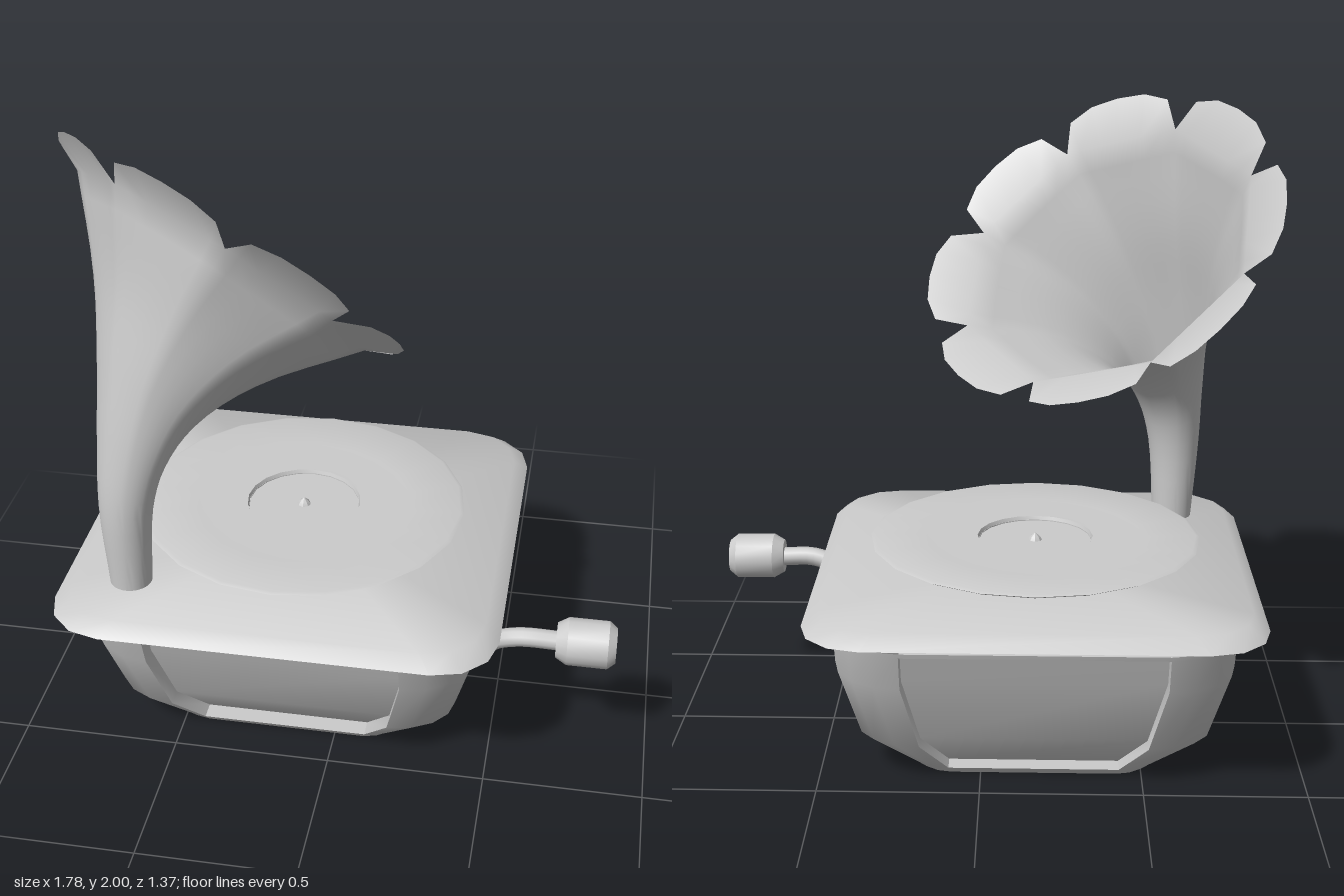
import * as THREE from 'three';
import { toCreasedNormals } from 'three/addons/utils/BufferGeometryUtils.js';

const material = new THREE.MeshStandardMaterial({ color: 0xcccccc, side: THREE.DoubleSide });
const CX = -0.165; // centre of the cabinet in x

function mesh(name, geometry, crease) {
  const m = new THREE.Mesh(crease ? toCreasedNormals(geometry, crease) : geometry, material);
  m.name = name;
  return m;
}

// Geometry from a list of quads, each with four Vector3 corners
function fromQuads(quads) {
  const pos = [];
  for (const [a, b, c, d] of quads) for (const p of [a, b, c, a, c, d]) pos.push(p.x, p.y, p.z);
  const g = new THREE.BufferGeometry();
  g.setAttribute('position', new THREE.Float32BufferAttribute(pos, 3));
  return g;
}

// Quads joining closed rings; skip(i, j) leaves a cell open
function loft(rows, skip = () => false) {
  const quads = [];
  for (let i = 0; i < rows.length - 1; i++) {
    const n = rows[i].length;
    for (let j = 0; j < n; j++) {
      if (skip(i, j)) continue;
      const k = (j + 1) % n;
      quads.push([rows[i][j], rows[i][k], rows[i + 1][k], rows[i + 1][j]]);
    }
  }
  return quads;
}

// Rounded rectangle: half sizes hx, hz with straight parts to px, pz
function ring(y, hx, hz, px, pz, n) {
  const pts = [];
  [[1, 1], [-1, 1], [-1, -1], [1, -1]].forEach(([sx, sz], q) => {
    for (let i = 0; i <= n; i++) {
      const a = ((q % 2 ? n - i : i) / n) * Math.PI / 2;
      const x = px + (hx - px) * Math.cos(a), z = pz + (hz - pz) * Math.sin(a);
      pts.push(new THREE.Vector3(CX + sx * x, y, sz * z));
    }
  });
  return pts;
}

function lathe(name, profile, sides) {
  const g = new THREE.LatheGeometry(profile.map(([r, y]) => new THREE.Vector2(r, y)), sides);
  return mesh(name, g, 0.5);
}

// Cabinet open at top and bottom, with a recessed panel on each side
function cabinet() {
  const n = 4, inset = 0.06;
  const rows = [
    [0.5, 0.617, 0.597, 0.4, 0.385], [0.485, 0.617, 0.592, 0.4, 0.38],
    [0.365, 0.613, 0.55, 0.4, 0.35], [0.135, 0.55, 0.465, 0.35, 0.305],
    [0.022, 0.4, 0.381, 0.265, 0.25], [0, 0.37, 0.365, 0.255, 0.245],
  ].map((l) => ring(...l, n));
  const isPanel = (i, j) => j % (n + 1) === n && i >= 1 && i <= 3;
  const group = new THREE.Group();
  group.name = 'cabinet';
  const walls = loft(rows, isPanel), panels = [];
  const inward = [[0, -1], [1, 0], [0, 1], [-1, 0]];
  inward.forEach(([dx, dz], s) => {
    const j = s * (n + 1) + n, k = (j + 1) % rows[0].length;
    const move = (p) => new THREE.Vector3(p.x + dx * inset, p.y, p.z + dz * inset);
    for (let i = 1; i <= 3; i++) {
      const [a, b, c, d] = [rows[i][j], rows[i][k], rows[i + 1][k], rows[i + 1][j]];
      panels.push([a, b, c, d].map(move));
      walls.push([a, move(a), move(d), d], [b, c, move(c), move(b)]);
      if (i === 1) walls.push([a, b, move(b), move(a)]);
      if (i === 3) walls.push([d, move(d), move(c), c]);
    }
  });
  group.add(mesh('cabinetFrame', fromQuads(walls), 0.75), mesh('sidePanels', fromQuads(panels), 0.75));
  return group;
}

// Lid plate with a sloped skirt
function lid() {
  const rows = [ring(0.585, 0, 0, 0, 0, 3), ring(0.585, 0.65, 0.64, 0.47, 0.465, 3), ring(0.545, 0.695, 0.685, 0.505, 0.5, 3)];
  return mesh('lid', fromQuads(loft(rows)), 0.85);
}

function turntable() {
  const group = new THREE.Group();
  group.name = 'turntable';
  group.position.set(CX, 0, -0.003);
  group.add(
    lathe('platterBase', [[0.31, 0.585], [0.25, 0.61], [0, 0.61]], 24),
    lathe('record', [[0, 0.635], [0.18, 0.635], [0.18, 0.645], [0.505, 0.645], [0.527, 0.656], [0.515, 0.661],
      [0.35, 0.654], [0.185, 0.656], [0.18, 0.642], [0, 0.642]], 20),
    lathe('spindle', [[0.022, 0.642], [0.016, 0.653], [0, 0.666]], 8),
  );
  return group;
}

// Flower horn, swept in a slanted vertical plane: u runs forward, v sideways
function horn() {
  const place = (u, y, v) => new THREE.Vector3(-0.605 + 0.633 * u + 0.774 * v, y, 0.385 - 0.774 * u + 0.633 * v);
  // Sections: back u, back y, low u, low y, half width
  const sections = [
    [-0.11, 0.575, 0.02, 0.575, 0.065], [-0.125, 0.87, 0.035, 0.85, 0.088], [-0.1, 1.1, 0.075, 0.98, 0.12],
    [-0.06, 1.34, 0.17, 1.09, 0.18], [-0.015, 1.6, 0.355, 1.175, 0.3], [0, 1.905, 0.711, 1.21, 0.507],
  ];
  const curve = (f) => new THREE.CatmullRomCurve3(sections.map(f));
  const back = curve((s) => new THREE.Vector3(s[0], s[1], s[4]));
  const low = curve((s) => new THREE.Vector3(s[2], s[3], 0));
  // Around the mouth: eight petals, each point with its angle, chord factor and reach
  const steps = [0, 0.12, 0.3, 0.5, 0.7, 0.88], reach = [0, 0.08, 0.105, 0.11, 0.105, 0.08];
  const rim = [];
  for (let p = 0; p < 8; p++) {
    steps.forEach((t, i) => {
      const chord = Math.cos(Math.PI / 8) / Math.cos((t - 0.5) * Math.PI / 4);
      rim.push([(p + t) * Math.PI / 4, chord, reach[i]]);
    });
  }
  // Round at the neck, eight flat petals towards the mouth
  const section = (t, extend) => {
    const b = back.getPoint(t), l = low.getPoint(t);
    const eu = (b.x - l.x) / 2, ey = (b.y - l.y) / 2;
    return rim.map(([a, chord, ext]) => {
      const k = THREE.MathUtils.lerp(1, chord, t * t);
      const c = Math.cos(a), s = Math.sin(a), e = extend * ext;
      const out = 1.3 * e, up = 0.5 * e * Math.SQRT1_2;
      return place(
        (b.x + l.x) / 2 + k * eu * c - out * c * Math.SQRT1_2 + up,
        (b.y + l.y) / 2 + k * ey * c + out * c * Math.SQRT1_2 + up,
        k * b.z * s + out * s,
      );
    });
  };
  const rows = [section(1, 1)];
  for (let i = 20; i >= 0; i--) rows.push(section(i / 20, 0));
  return mesh('horn', fromQuads(loft(rows)), 1);
}

// Bent crank with a knob
function crank() {
  const group = new THREE.Group();
  group.name = 'crank';
  const path = new THREE.CatmullRomCurve3([
    [0.4, 0.315, 0.24], [0.46, 0.35, 0.265], [0.52, 0.42, 0.315], [0.59, 0.447, 0.33], [0.71, 0.447, 0.33],
  ].map((p) => new THREE.Vector3(...p)));
  const knob = lathe('crankKnob', [[0, 0], [0.055, 0], [0.075, 0.035], [0.075, 0.16], [0.055, 0.185], [0, 0.185]], 16);
  knob.position.set(0.695, 0.45, 0.33);
  knob.rotation.z = -Math.PI / 2;
  group.add(mesh('crankArm', new THREE.TubeGeometry(path, 16, 0.031, 10)), knob);
  return group;
}

export function createModel() {
  const model = new THREE.Group();
  model.name = 'gramophone';
  model.add(cabinet(), lid(), turntable(), horn(), crank());
  return model;
}
